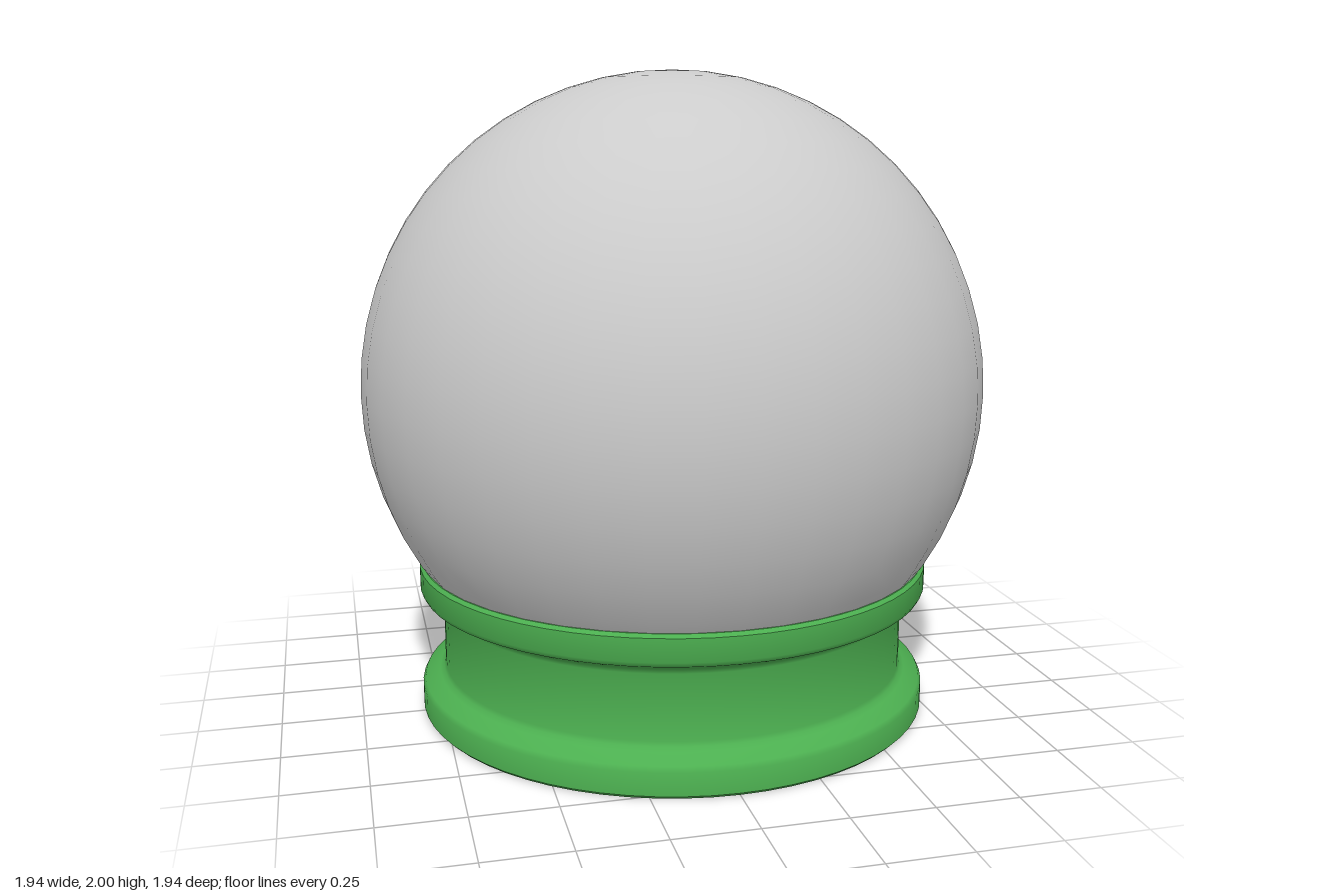
import * as THREE from 'three';
import { toCreasedNormals } from 'three/addons/utils/BufferGeometryUtils.js';

export function createModel() {
  const model = new THREE.Group();
  model.name = 'globeOnStand';

  // Globe, sunk into the stand
  const globe = new THREE.Mesh(
    new THREE.SphereGeometry(0.97, 40, 28),
    new THREE.MeshStandardMaterial({ color: 0xcccccc })
  );
  globe.name = 'globe';
  globe.position.y = 1.03;
  model.add(globe);

  // Lower half of the stand's profile: flat foot, rim, slope into the waist
  const lower = [
    [0, 0], [0.8, 0], [0.81, 0.01], [0.81, 0.08], [0.802, 0.095],
    [0.755, 0.117], [0.742, 0.127], [0.737, 0.14],
  ];
  // The upper half mirrors it about mid-height
  const height = 0.48;
  const upper = lower.map(([r, y]) => [r, height - y]).reverse();
  const profile = [...lower, ...upper].map(([r, y]) => new THREE.Vector2(r, y));

  const stand = new THREE.Mesh(
    toCreasedNormals(new THREE.LatheGeometry(profile, 64), 0.7),
    new THREE.MeshStandardMaterial({ color: 0x4caf50 })
  );
  stand.name = 'stand';
  model.add(stand);

  return model;
}
